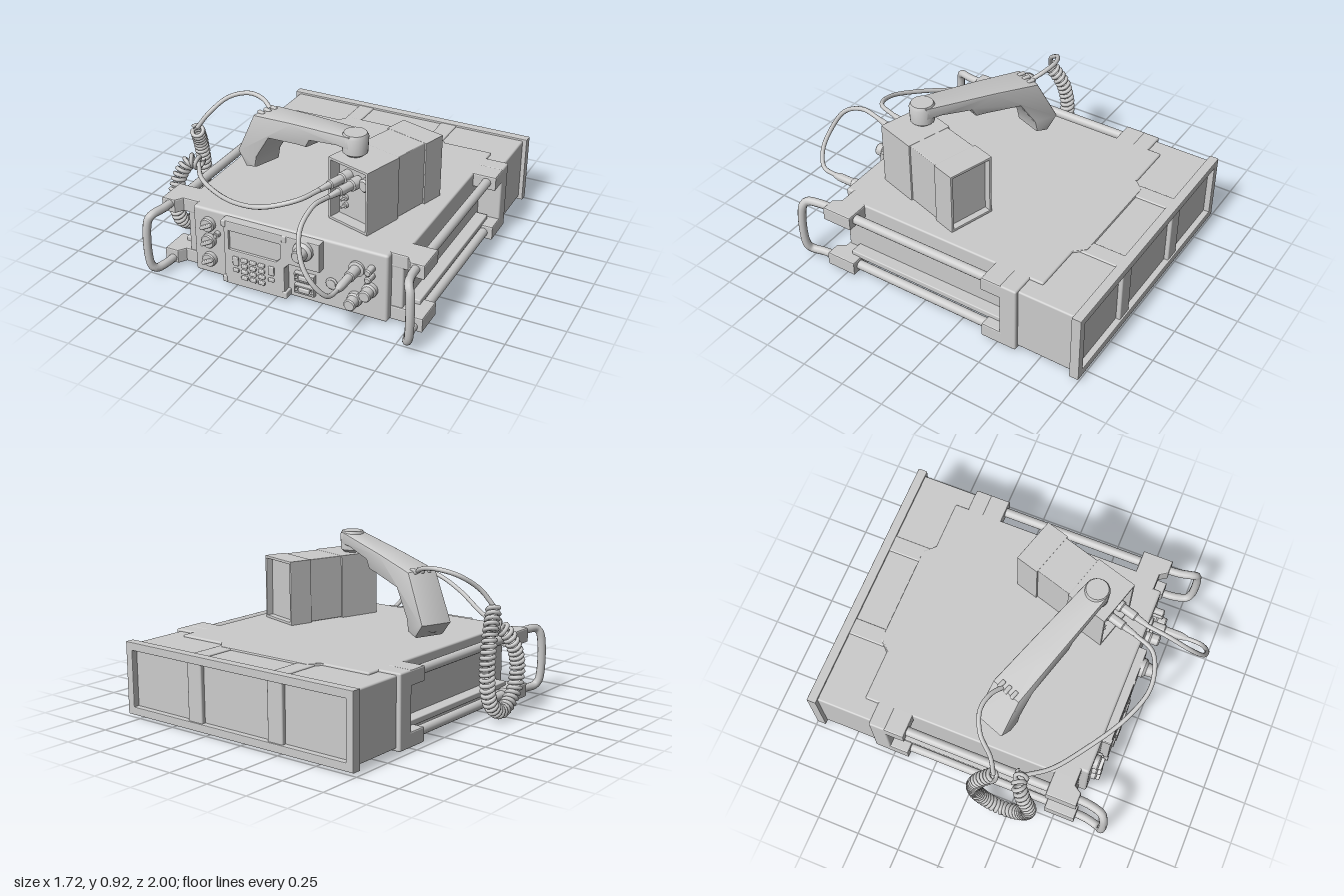
import * as THREE from 'three';
import { RoundedBoxGeometry } from 'three/addons/geometries/RoundedBoxGeometry.js';
import { toCreasedNormals } from 'three/addons/utils/BufferGeometryUtils.js';

const grey = new THREE.MeshStandardMaterial({ color: 0xcccccc });
const V = (p) => new THREE.Vector3(...p);

function add(parent, name, geometry, x = 0, y = 0, z = 0) {
  const m = new THREE.Mesh(geometry, grey);
  m.name = name;
  m.position.set(x, y, z);
  parent.add(m);
  return m;
}
function group(parent, name) {
  const g = new THREE.Group();
  g.name = name;
  parent.add(g);
  return g;
}
// box given by its limits, with rounded edges
function block(parent, name, [x0, x1], [y0, y1], [z0, z1], r = 0.01) {
  return add(parent, name, new RoundedBoxGeometry(x1 - x0, y1 - y0, z1 - z0, 2, r),
    (x0 + x1) / 2, (y0 + y1) / 2, (z0 + z1) / 2);
}
function extrude(shape, depth, bevel = 0) {
  return new THREE.ExtrudeGeometry(shape, {
    depth: depth - 2 * bevel, bevelEnabled: bevel > 0, bevelSize: bevel,
    bevelThickness: bevel, bevelOffset: -bevel, bevelSegments: 2, curveSegments: 10,
  }).translate(0, 0, bevel);
}
const outline = (pts) => new THREE.Shape(pts.map(([x, y]) => new THREE.Vector2(x, y)));
// slab with a floor plan of [x, z] points between two heights
function slab(parent, name, pts, y0, y1, bevel = 0.008) {
  const g = extrude(outline(pts.map(([x, z]) => [x, -z])), y1 - y0, bevel);
  return add(parent, name, g.rotateX(-Math.PI / 2), 0, y0, 0);
}
// rectangular ring facing z
function ring(w, h, border, depth) {
  const rect = (a, b) => [[-a, -b], [a, -b], [a, b], [-a, b]];
  const s = outline(rect(w / 2, h / 2));
  s.holes.push(outline(rect(w / 2 - border, h / 2 - border)));
  return extrude(s, depth, 0.004);
}
// turned part along +z, profile of [radius, z]
function turned(parent, name, profile, x, y, z, segments = 24) {
  const g = new THREE.LatheGeometry(profile.map(([r, h]) => new THREE.Vector2(r, h)), segments);
  return add(parent, name, toCreasedNormals(g.rotateX(Math.PI / 2), 0.6), x, y, z);
}
function cable(parent, name, pts, r, steps = 60) {
  const path = new THREE.CatmullRomCurve3(pts.map(V));
  return add(parent, name, new THREE.TubeGeometry(path, steps, r, 10));
}

function buildCase(root) {
  const g = group(root, 'radioCase');
  g.position.x = 0.055;
  block(g, 'caseCore', [-0.65, 0.65], [0.02, 0.43], [-0.7, 0.57]);
  block(g, 'rearCollar', [-0.785, 0.785], [0.02, 0.43], [-0.62, -0.52]);
  block(g, 'rearCover', [-0.76, 0.76], [0.035, 0.418], [-0.965, -0.6]);
  add(g, 'rearRim', ring(1.57, 0.41, 0.045, 0.055), 0, 0.225, -1);
  // raised tapering pad on the top and bottom of the rear cover
  slab(g, 'rearPad', [[-0.3, -0.76], [0.3, -0.76], [0.44, -0.61], [-0.44, -0.61]], 0.02, 0.43);
  for (const s of [-1, 1]) {
    block(g, 'rearCoverRib', [s * 0.28 - 0.05, s * 0.28 + 0.05], [0.026, 0.426], [-0.99, -0.73], 0.008);
    // side corners, carrying the rails, above and below the open side channel
    for (const [y0, y1, railY] of [[0.345, 0.43, 0.39], [0.02, 0.105, 0.062]]) {
      slab(g, 'rearCorner', [[s * 0.63, -0.53], [s * 0.785, -0.53], [s * 0.785, -0.41], [s * 0.63, -0.41]], y0, y1);
      slab(g, 'frontCorner', [[s * 0.57, 0.47], [s * 0.65, 0.44], [s * 0.785, 0.44], [s * 0.785, 0.62],
        [s * 0.705, 0.62], [s * 0.675, 0.575], [s * 0.57, 0.575]], y0, y1);
      add(g, 'sideRail', new THREE.CylinderGeometry(0.027, 0.027, 0.9, 16).rotateX(Math.PI / 2), s * 0.73, railY, 0.01);
    }
    block(g, 'sideLedge', [s * 0.68 - 0.04, s * 0.68 + 0.04], [0.095, 0.13], [-0.5, 0.5], 0.006);
    const half = [[0.735, 0.175, 0.59], [0.74, 0.175, 0.68], [0.76, 0.17, 0.76], [0.777, 0.135, 0.78]];
    const loop = half.concat(half.slice().reverse().map(([x, y, z]) => [x, -y, z]));
    cable(g, 'carryHandle', loop.map(([x, y, z]) => [s * x, y + 0.225, z]), 0.024, 50);
  }
}

function buildPanel(root) {
  const g = group(root, 'controlPanel');
  block(g, 'panelBase', [-0.53, 0.64], [0.02, 0.43], [0.5, 0.62], 0.015);
  // keypad housing with its stepped right edge and a display window
  const housing = outline([[-0.31, 0.025], [0.06, 0.025], [0.06, 0.22], [0.09, 0.25], [0.27, 0.25],
    [0.27, 0.42], [-0.31, 0.42]]);
  housing.holes.push(outline([[-0.28, 0.245], [0.01, 0.245], [0.035, 0.27], [0.035, 0.36], [-0.28, 0.36]]));
  add(g, 'keypadHousing', extrude(housing, 0.06, 0.006), 0, 0, 0.61);
  block(g, 'displayWindow', [-0.29, 0.04], [0.24, 0.365], [0.6, 0.655], 0.004);
  for (const y of [0.2, 0.163, 0.127, 0.09])
    for (const x of [-0.183, -0.13, -0.077])
      block(g, 'key', [x - 0.02, x + 0.02], [y - 0.011, y + 0.011], [0.65, 0.683], 0.005);
  for (const x of [-0.237, -0.018]) {
    block(g, 'sideKey', [x - 0.018, x + 0.018], [0.155, 0.21], [0.65, 0.68], 0.005);
    block(g, 'sideKey', [x - 0.018, x + 0.018], [0.115, 0.137], [0.65, 0.68], 0.005);
  }
  for (const x of [-0.31, 0.06]) for (const y of [0.05, 0.4])
    block(g, 'housingClip', [x - 0.014, x + 0.014], [y - 0.02, y + 0.02], [0.6, 0.675], 0.006);
  // rotary switches with a grip bar
  for (const y of [0.34, 0.237, 0.118]) {
    turned(g, 'rotarySwitch', [[0.042, 0], [0.042, 0.03], [0.036, 0.037], [0, 0.037]], -0.43, y, 0.615);
    const bar = block(g, 'switchGrip', [-0.467, -0.393], [y - 0.01, y + 0.01], [0.63, 0.672], 0.006);
    bar.rotation.z = 0.5;
  }
  const stud = [[0.018, 0], [0.018, 0.03], [0.011, 0.03], [0.011, 0.04], [0, 0.04]];
  turned(g, 'indicator', stud, -0.377, 0.29, 0.615);
  // main knob
  turned(g, 'mainKnob', [[0.057, 0], [0.057, 0.035], [0.047, 0.045], [0.04, 0.05], [0.036, 0.09], [0.03, 0.096], [0, 0.096]],
    0.18, 0.365, 0.655, 14);
  // data ports
  for (const y of [0.17, 0.095]) {
    add(g, 'portFrame', ring(0.12, 0.052, 0.01, 0.035), 0.165, y, 0.615);
    block(g, 'portPlug', [0.132, 0.198], [y - 0.014, y + 0.014], [0.61, 0.655], 0.006);
    for (const x of [0.122, 0.208]) turned(g, 'portScrew', [[0.008, 0], [0.008, 0.036], [0, 0.036]], x, y, 0.615, 10);
  }
  add(g, 'socketRing', new THREE.TorusGeometry(0.028, 0.007, 8, 24), 0.32, 0.175, 0.625);
  turned(g, 'socketCover', [[0.025, 0], [0.025, 0.018], [0, 0.02]], 0.32, 0.175, 0.615);
  for (const y of [0.335, 0.29]) turned(g, 'pushButton', [[0.02, 0], [0.02, 0.06], [0.014, 0.066], [0, 0.066]], 0.55, y, 0.615);
  // pair of capped sockets joined by a strap
  for (const [x, y] of [[0.545, 0.205], [0.46, 0.125]])
    turned(g, 'socketCap', [[0.042, 0], [0.042, 0.03], [0.034, 0.04], [0.034, 0.085], [0.028, 0.092], [0, 0.092]], x, y, 0.615);
  add(g, 'capStrap', new RoundedBoxGeometry(0.1, 0.032, 0.04, 2, 0.008), 0.502, 0.165, 0.63).rotation.z = 0.755;
  // plugged antenna lead
  turned(g, 'panelPlug', [[0.045, 0], [0.045, 0.02], [0.03, 0.025], [0.03, 0.1], [0.024, 0.105], [0.024, 0.2],
    [0.014, 0.24], [0, 0.24]], 0.465, 0.31, 0.615);
}

function buildAmplifier(root) {
  const g = group(root, 'amplifierBox');
  g.position.set(0.412, 0.615, 0.16);
  g.rotation.y = -0.293;
  block(g, 'amplifierBody', [-0.128, 0.128], [-0.183, 0.183], [-0.265, 0.235], 0.004);
  add(g, 'frontFrame', ring(0.276, 0.37, 0.016, 0.25), 0, 0, 0.053);
  add(g, 'rearFrame', ring(0.276, 0.37, 0.016, 0.14), 0, 0, -0.303);
  const plug = [[0.034, 0], [0.034, 0.06], [0.026, 0.065], [0.026, 0.15], [0.02, 0.155], [0.014, 0.23], [0, 0.23]];
  turned(g, 'amplifierPlug', plug, -0.055, 0.08, 0.23);
  turned(g, 'amplifierPlug', plug, 0.03, 0.08, 0.25);
  turned(g, 'amplifierSocket', [[0.038, 0], [0.038, 0.04], [0.028, 0.05], [0, 0.05]], 0.085, 0.08, 0.23);
  for (const y of [-0.06, -0.105])
    turned(g, 'amplifierSwitch', [[0.016, 0], [0.016, 0.02], [0.007, 0.022], [0.007, 0.05], [0, 0.05]], -0.07, y, 0.23, 14);
}

function buildHandset(root) {
  const g = group(root, 'handset');
  g.position.set(0, 0, 0.207);
  g.rotation.y = -0.356;
  const s = outline([[0.345, 0.925], [0.345, 0.85], [0.25, 0.845], [0.05, 0.8], [0.02, 0.75], [-0.05, 0.74],
    [-0.28, 0.695], [-0.385, 0.54], [-0.4, 0.47], [-0.475, 0.45], [-0.545, 0.53], [-0.4, 0.8], [-0.1, 0.855]]);
  const body = extrude(s, 0.18, 0.012).translate(0, 0, -0.09);
  // narrow the grip towards the earpiece
  const p = body.attributes.position;
  for (let i = 0; i < p.count; i++) p.setZ(i, p.getZ(i) * (0.9 - 0.35 * p.getX(i)));
  add(g, 'handsetBody', toCreasedNormals(body, 0.7));
  const ear = turned(g, 'earpiece', [[0, -0.125], [0.05, -0.125], [0.068, -0.11], [0.072, -0.02], [0.062, 0], [0, 0]], 0.325, 0.928, 0);
  ear.rotation.x = -Math.PI / 2;
  const mouth = turned(g, 'mouthpiece', [[0.085, -0.04], [0.085, 0.02], [0.07, 0.035], [0, 0.03]], -0.445, 0.535, 0);
  mouth.lookAt(V([0.2, 0.1, 0]).applyMatrix4(new THREE.Matrix4()));
  mouth.quaternion.setFromUnitVectors(V([0, 0, 1]), V([0.85, -0.52, 0]).normalize());
  // cord grip on the bend
  for (const z of [-0.045, 0, 0.045]) block(g, 'cordGrip', [-0.41, -0.36], [0.785, 0.815], [z - 0.012, z + 0.012], 0.008);
}

// cord wound around a guide path
function buildCoil(root, pts, turns, radius, wire) {
  const guide = new THREE.CatmullRomCurve3(pts.map(V));
  const n = turns * 12;
  const { normals, binormals } = guide.computeFrenetFrames(n);
  const wound = [];
  for (let i = 0; i <= n; i++) {
    const a = (i / 12) * Math.PI * 2;
    wound.push(guide.getPointAt(i / n).addScaledVector(normals[i], radius * Math.cos(a))
      .addScaledVector(binormals[i], radius * Math.sin(a)));
  }
  add(root, 'coiledCord', new THREE.TubeGeometry(new THREE.CatmullRomCurve3(wound), n, wire, 7));
}

export function createModel() {
  const root = new THREE.Group();
  root.name = 'fieldRadio';
  buildCase(root);
  buildPanel(root);
  buildAmplifier(root);
  buildHandset(root);
  cable(root, 'panelCable', [[0.302, 0.695, 0.62], [0.28, 0.7, 0.76], [0.28, 0.63, 0.9], [0.33, 0.5, 0.975],
    [0.4, 0.4, 0.985], [0.455, 0.325, 0.94], [0.465, 0.31, 0.84]], 0.013);
  cable(root, 'longCable', [[0.228, 0.695, 0.58], [0.17, 0.685, 0.71], [0.0, 0.63, 0.768], [-0.2, 0.57, 0.705],
    [-0.45, 0.505, 0.54], [-0.6, 0.49, 0.42], [-0.69, 0.5, 0.3]], 0.013);
  cable(root, 'handsetCable', [[-0.36, 0.8, 0.04], [-0.43, 0.83, 0.0], [-0.53, 0.84, -0.015], [-0.64, 0.81, 0.03],
    [-0.72, 0.73, 0.12], [-0.78, 0.64, 0.16]], 0.013);
  buildCoil(root, [[-0.78, 0.63, 0.16], [-0.81, 0.5, 0.08], [-0.815, 0.3, 0.05], [-0.81, 0.12, 0.1], [-0.81, 0.05, 0.21],
    [-0.81, 0.12, 0.33], [-0.81, 0.28, 0.375], [-0.79, 0.43, 0.33], [-0.74, 0.5, 0.29], [-0.68, 0.49, 0.29]], 44, 0.033, 0.0125);
  return root;
}
